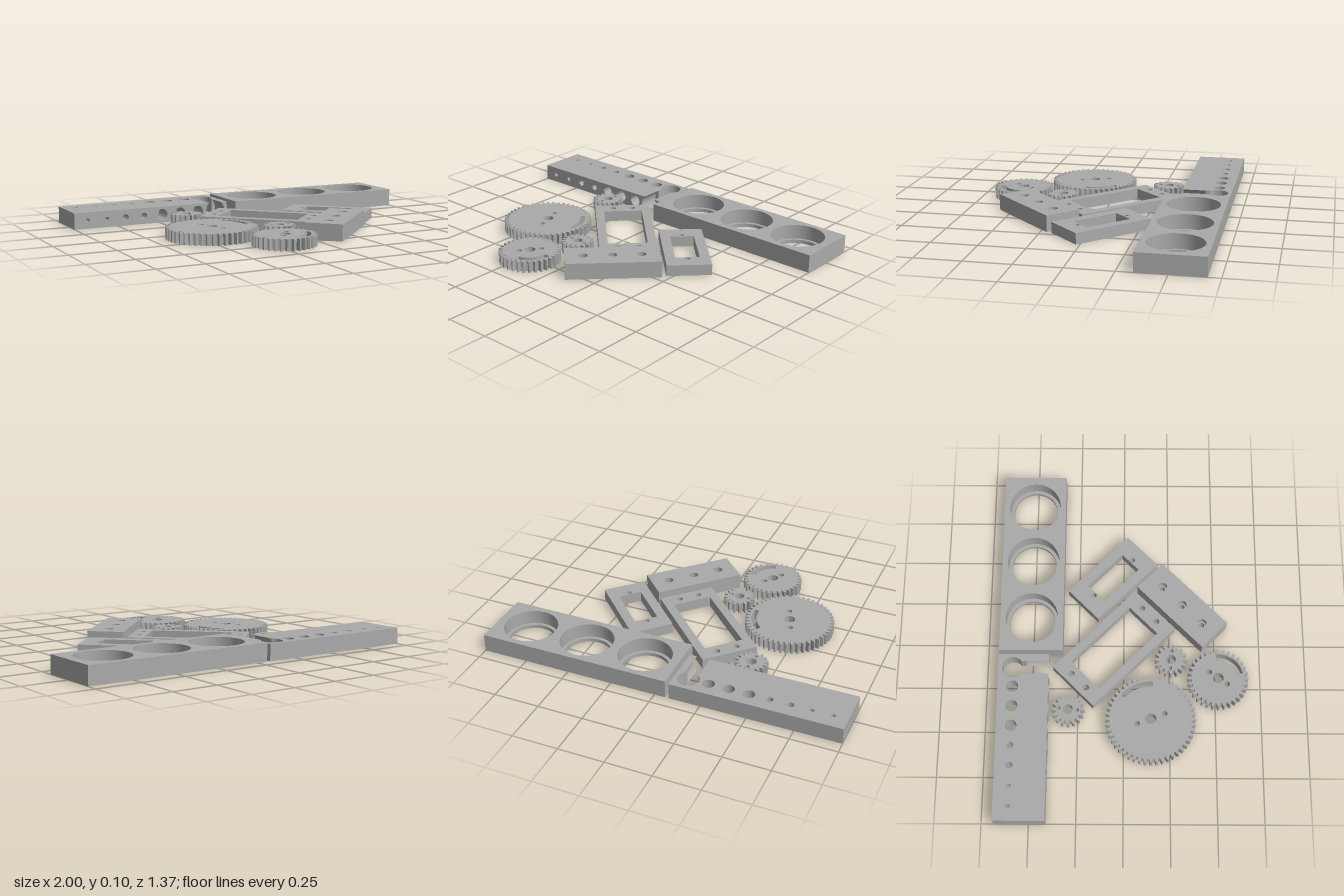
import * as THREE from 'three';
import { toCreasedNormals } from 'three/addons/utils/BufferGeometryUtils.js';

const grey = new THREE.MeshStandardMaterial({ color: 0xaaaaaa });
grey.name = 'plain grey';

function circle(x, y, r) {
  const p = new THREE.Path();
  p.absarc(x, y, r, 0, Math.PI * 2, false);
  return p;
}

function rect(w, d, Type = THREE.Shape) {
  const s = new Type();
  s.moveTo(-w / 2, -d / 2);
  s.lineTo(w / 2, -d / 2);
  s.lineTo(w / 2, d / 2);
  s.lineTo(-w / 2, d / 2);
  s.closePath();
  return s;
}

const extrude = (shape, depth) =>
  new THREE.ExtrudeGeometry(shape, { depth, bevelEnabled: false, curveSegments: 20 });

function mesh(name, geometry) {
  const m = new THREE.Mesh(toCreasedNormals(geometry, 0.5), grey);
  m.name = name;
  return m;
}

// Flat slab from y0 to y1; shape x, y become world x, z
function slab(name, shape, y0, y1, holes = []) {
  shape.holes.push(...holes);
  return mesh(name, extrude(shape, y1 - y0).rotateX(Math.PI / 2).translate(0, y1, 0));
}

function place(name, x, z, angle, ...parts) {
  const g = new THREE.Group();
  g.name = name;
  g.add(...parts);
  g.position.set(x, 0, z);
  g.rotation.y = angle;
  return g;
}

// Curved slot with square ends
function arcSlot(r0, r1, a0, a1) {
  const p = new THREE.Path();
  p.absarc(0, 0, r1, a0, a1, false);
  p.absarc(0, 0, r0, a1, a0, true);
  p.closePath();
  return p;
}

const MODULE = 0.0098;
function gear(name, x, z, teeth, holes) {
  const tip = MODULE * (teeth + 2) / 2, root = MODULE * (teeth - 2.5) / 2;
  const pitch = MODULE * teeth / 2, step = Math.PI * 2 / teeth;
  const profile = [[root, -0.33], [pitch, -0.25], [tip, -0.12], [tip, 0.12], [pitch, 0.25], [root, 0.33]];
  const points = [];
  for (let i = 0; i < teeth; i++) {
    for (const [r, t] of profile) {
      const a = (i + t) * step;
      points.push(new THREE.Vector2(r * Math.cos(a), r * Math.sin(a)));
    }
  }
  return place(name, x, z, 0, slab(name + 'Body', new THREE.Shape(points), 0, 0.06, holes));
}

// Gauge plate: vertical holes at the back, matching horizontal holes from the front
function gaugePlate() {
  const h = 0.09, split = -0.535, cx = -0.155, cz = -0.607, r = 0.058;
  const half = Math.sqrt(r * r - h * h / 4), a = Math.acos(half / r);
  const drills = [0.012, 0.012, 0.018, 0.018, 0.031, 0.032, 0.033]
    .map((radius, i) => [-0.923 + i * 0.1097, radius]);

  const back = new THREE.Shape();
  back.moveTo(-1, -0.685);
  back.lineTo(-0.08, -0.685);
  back.lineTo(-0.08, split);
  back.lineTo(cx + half, split);
  back.absarc(cx, cz, r, a, Math.PI - a, true);
  back.lineTo(cx - half, split);
  back.lineTo(-1, split);
  back.closePath();

  // The largest cross hole breaks through the top and bottom faces
  const left = new THREE.Shape();
  left.moveTo(-1, 0);
  left.lineTo(cx - half, 0);
  left.absarc(cx, h / 2, r, Math.PI + a, Math.PI - a, true);
  left.lineTo(-1, h);
  left.closePath();
  left.holes.push(...drills.map(([x, q]) => circle(x, h / 2, q)));

  const right = new THREE.Shape();
  right.moveTo(-0.08, 0);
  right.lineTo(-0.08, h);
  right.lineTo(cx + half, h);
  right.absarc(cx, h / 2, r, a, -a, true);
  right.closePath();

  return place('gaugePlate', 0, 0, 0,
    slab('gaugeBack', back, 0, h, drills.map(([x, q]) => circle(x, -0.605, q))),
    mesh('gaugeFront', extrude([left, right], -0.41 - split).translate(0, 0, split)));
}

// Slab with a row of stepped holes: narrow below, wide above
function steppedPlate(name, x, z, angle, w, d, h, ledge, spots, narrow, wide) {
  return place(name, x, z, angle,
    slab(name + 'Lower', rect(w, d), 0, ledge, spots.map(([u, v]) => circle(u, v, narrow))),
    slab(name + 'Upper', rect(w, d), ledge, h, spots.map(([u, v]) => circle(u, v, wide))));
}

// Rectangular frame with an opening and screw holes
function frame(name, x, z, w, d, iw, id, spots, r) {
  const holes = [rect(iw, id, THREE.Path), ...spots.map(([u, v]) => circle(u, v, r))];
  return place(name, x, z, -Math.PI / 4, slab(name + 'Body', rect(w, d), 0, 0.06, holes));
}

export function createModel() {
  const model = new THREE.Group();
  model.name = 'gearKit';

  model.add(gaugePlate());
  model.add(steppedPlate('ringPlate', 0.47, -0.51, 0, 1.06, 0.35, 0.1, 0.02,
    [[-0.338, 0], [0.002, 0], [0.341, 0]], 0.126, 0.145));
  model.add(steppedPlate('screwBlock', 0.215, 0.323, Math.PI / 4, 0.502, 0.2, 0.09, 0.05,
    [[-0.153, 0], [0, 0], [0.153, 0]], 0.016, 0.025));

  model.add(frame('largeFrame', -0.028, -0.053, 0.635, 0.313, 0.455, 0.217,
    [[-0.273, -0.056], [-0.273, 0.056], [0.273, -0.056], [0.273, 0.056]], 0.017));
  model.add(frame('smallFrame', 0.39, -0.061, 0.468, 0.238, 0.272, 0.13,
    [[-0.153, 0], [0.153, 0]], 0.014));

  model.add(gear('largeGear', -0.436, 0.147, 48, [circle(0, 0, 0.03),
    circle(-0.028, -0.075, 0.016), circle(0.028, 0.075, 0.016), arcSlot(0.183, 0.211, -0.87, 0.07)]));
  model.add(gear('mediumGear', -0.203, 0.516, 32, [circle(0, 0, 0.03),
    circle(0.034, -0.048, 0.016), circle(-0.034, 0.048, 0.016), arcSlot(0.102, 0.138, -0.08, 1.37)]));
  model.add(gear('backPinion', -0.383, -0.302, 16, [circle(0, 0, 0.027),
    circle(0.005, -0.05, 0.011), circle(-0.005, 0.05, 0.011)]));
  model.add(gear('frontPinion', -0.096, 0.259, 16, [circle(0, 0, 0.027),
    circle(-0.05, -0.004, 0.011), circle(0.05, 0.004, 0.011)]));

  return model;
}
